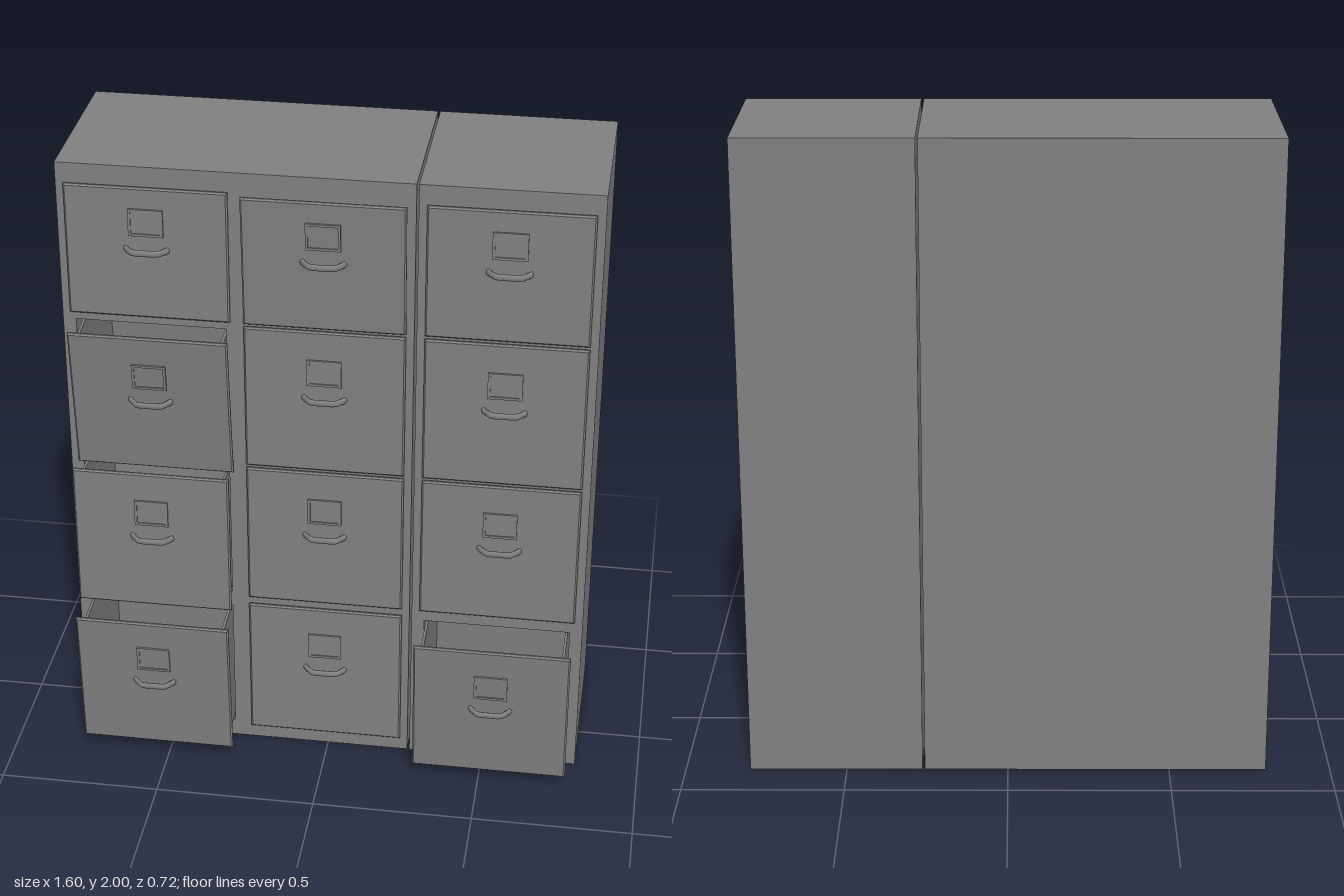
import * as THREE from 'three';

const grey = new THREE.MeshStandardMaterial({ color: 0x808080 });
grey.name = 'painted steel grey';

const FRONT = 0.175, BACK = -0.36, WALL = 0.01;
const HALF_W = 0.2425; // half the width of a drawer front
const COLUMNS = { left: -0.5325, middle: -0.0075, right: 0.5325 };
const ROWS = [ // bottom and height of each drawer front
  { y: 1.52, h: 0.42 }, { y: 1.035, h: 0.475 }, { y: 0.55, h: 0.475 }, { y: 0.05, h: 0.475 },
];

function add(group, name, geometry, x = 0, y = 0, z = 0) {
  const mesh = new THREE.Mesh(geometry, grey);
  mesh.name = name;
  mesh.position.set(x, y, z);
  group.add(mesh);
  return mesh;
}

function rect(Type, x0, y0, x1, y1) {
  return new Type([[x0, y0], [x1, y0], [x1, y1], [x0, y1]].map(p => new THREE.Vector2(...p)));
}

// Cabinet body with one opening per drawer and a closed back
function cabinet(name, x0, x1, columns) {
  const group = new THREE.Group();
  group.name = name;
  const shape = rect(THREE.Shape, x0, 0, x1, 2);
  for (const cx of columns) {
    for (const { y, h } of ROWS) {
      shape.holes.push(rect(THREE.Path, cx - 0.228, y + 0.008, cx + 0.228, y + h - 0.018));
    }
  }
  const depth = FRONT - BACK - WALL;
  add(group, 'cabinetBody', new THREE.ExtrudeGeometry(shape, { depth, bevelEnabled: false }), 0, 0, BACK + WALL);
  add(group, 'backPanel', new THREE.BoxGeometry(x1 - x0, 2, WALL), (x0 + x1) / 2, 1, BACK + WALL / 2);
  return group;
}

// Bent pull handle
function handleGeometry() {
  const pts = [[-0.064, -0.004], [-0.058, 0.006], [-0.04, 0.026], [-0.028, 0.029],
    [0.028, 0.029], [0.04, 0.026], [0.058, 0.006], [0.064, -0.004]];
  const path = new THREE.CurvePath();
  const v = pts.map(([x, z]) => new THREE.Vector3(x, 0, z));
  for (let i = 1; i < v.length; i++) path.add(new THREE.LineCurve3(v[i - 1], v[i]));
  return new THREE.TubeGeometry(path, 40, 0.0065, 10).scale(1, 1.6, 1);
}

// Open-topped drawer; the origin is the bottom of the back of its front panel
function drawer(name, cx, y, h, z, tilt) {
  const group = new THREE.Group();
  group.name = name;
  group.position.set(cx, y, z);
  group.rotation.x = tilt;

  const b = 0.005;
  const face = rect(THREE.Shape, -HALF_W + b, b, HALF_W - b, h - b);
  add(group, 'drawerFront', new THREE.ExtrudeGeometry(face, {
    depth: 0.005, bevelThickness: b, bevelSize: b, bevelSegments: 1,
  }), 0, 0, b);

  const w = 0.445, t = 0.008, d = 0.42, bh = h - 0.04, y0 = 0.012;
  for (const s of [-1, 1]) {
    add(group, 'drawerSide', new THREE.BoxGeometry(t, bh, d), s * (w - t) / 2, y0 + bh / 2, -d / 2);
  }
  add(group, 'drawerFloor', new THREE.BoxGeometry(w - 2 * t, t, d), 0, y0 + t / 2, -d / 2);
  add(group, 'drawerBack', new THREE.BoxGeometry(w - 2 * t, bh, t), 0, y0 + bh / 2, -d + t / 2);

  const handleY = h - 0.475 / 2 + 0.015 - (h < 0.45 ? -0.0275 : 0);
  add(group, 'handle', handleGeometry(), 0, handleY, 0.015);

  // Card holder frame with a slightly recessed card
  const frame = rect(THREE.Shape, -0.052, 0, 0.052, 0.086);
  frame.holes.push(rect(THREE.Path, -0.044, 0.008, 0.044, 0.078));
  add(group, 'cardHolder', new THREE.ExtrudeGeometry(frame, { depth: 0.007, bevelEnabled: false }), 0, handleY + 0.043, 0.014);
  add(group, 'card', new THREE.BoxGeometry(0.09, 0.074, 0.003), 0, handleY + 0.086, 0.016);
  return group;
}

export function createModel() {
  const model = new THREE.Group();
  model.name = 'filingCabinets';
  model.add(cabinet('wideCabinet', -0.8, 0.258, [COLUMNS.left, COLUMNS.middle]));
  model.add(cabinet('narrowCabinet', 0.265, 0.8, [COLUMNS.right]));

  // Drawers pulled out or sagging: [bottom, z, tilt]
  const pulled = {
    left1: [1.005, 0.177, 0.11],
    left2: [0.55, 0.26, 0],
    left3: [0.045, 0.294, 0.065],
    middle0: [1.52, 0.177, 0.05],
    right3: [0.045, 0.294, 0.065],
  };
  for (const [column, cx] of Object.entries(COLUMNS)) {
    ROWS.forEach((row, i) => {
      const [y, z, tilt] = pulled[column + i] ?? [row.y, FRONT + 0.001, 0];
      model.add(drawer(`${column}Drawer${i + 1}`, cx, y, row.h, z, tilt));
    });
  }
  return model;
}
